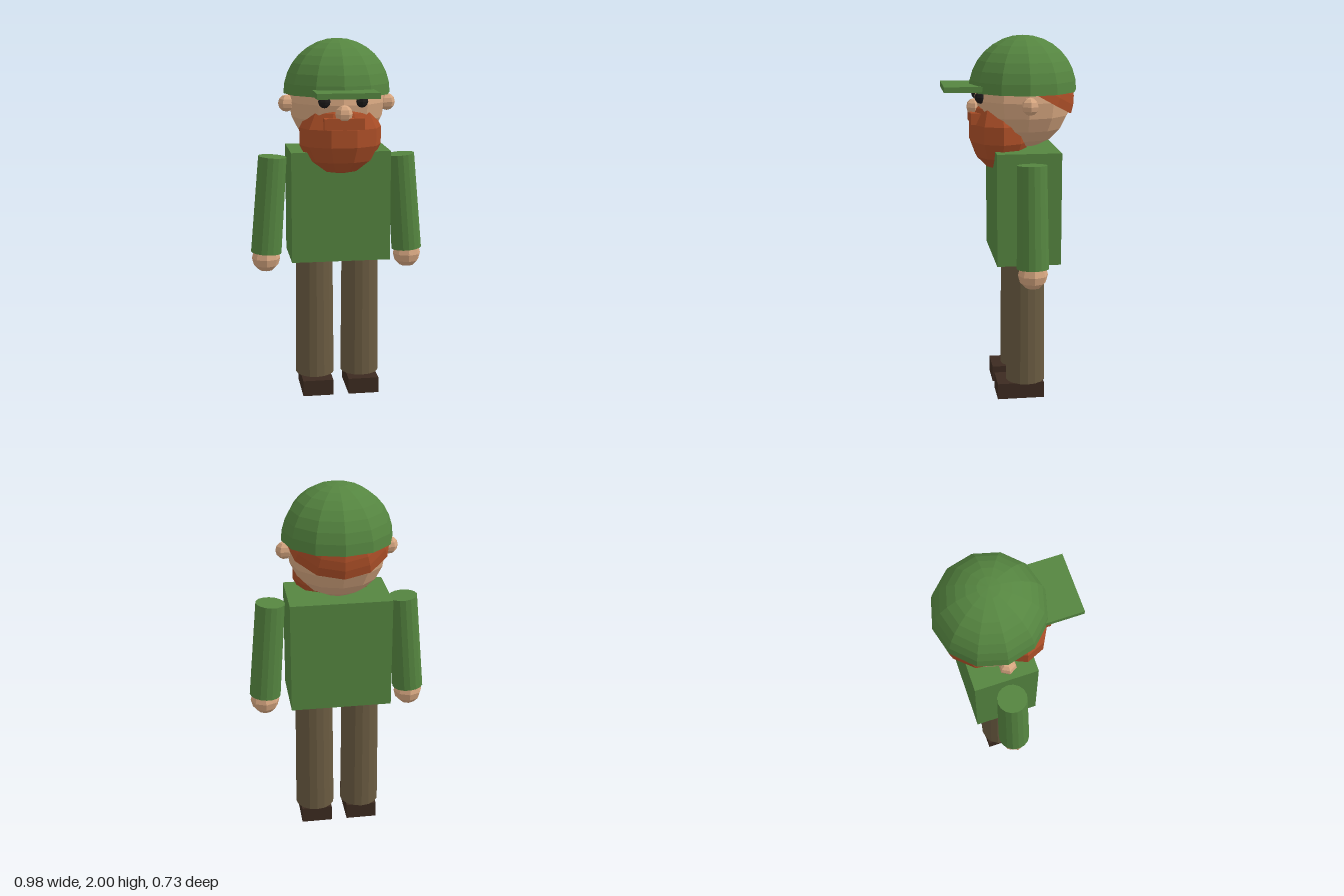
import * as THREE from 'three';

export function createModel() {
  const model = new THREE.Group();
  model.name = 'figure';

  const paint = (name, color, side = THREE.FrontSide) =>
    new THREE.MeshStandardMaterial({ name, color, flatShading: true, side });
  const green = paint('green cloth', 0x558540, THREE.DoubleSide);
  const skin = paint('skin', 0xd6a680);
  const ginger = paint('ginger hair', 0xab4e27, THREE.DoubleSide);
  const brown = paint('trouser brown', 0x6a5b41);
  const leather = paint('shoe leather', 0x3c2a20);
  const black = paint('eye black', 0x1c1a1a);

  const Z = -0.07; // body axis
  const add = (name, geometry, material, x, y, z) => {
    const mesh = new THREE.Mesh(geometry, material);
    mesh.name = name;
    mesh.position.set(x, y, z);
    model.add(mesh);
    return mesh;
  };
  const box = (w, h, d) => new THREE.BoxGeometry(w, h, d);
  const ball = (r, w, h) => new THREE.SphereGeometry(r, w, h);
  const dome = (r, w, h, theta) => new THREE.SphereGeometry(r, w, h, 0, Math.PI * 2, 0, theta);

  // Body
  add('torso', box(0.546, 0.61, 0.346), green, 0, 1.095, Z);

  // Limbs, ears and eyes, mirrored
  for (const [side, s] of [['left', 1], ['right', -1]]) {
    add(side + 'Leg', new THREE.CylinderGeometry(0.104, 0.11, 0.72, 16), brown, s * 0.13, 0.45, Z);
    add(side + 'Shoe', box(0.172, 0.09, 0.26), leather, s * 0.13, 0.045, -0.035);
    const arm = add(side + 'Arm', new THREE.CylinderGeometry(0.079, 0.086, 0.545, 16), green, s * 0.381, 1.085, Z);
    arm.rotation.z = s * 0.078;
    add(side + 'Hand', ball(0.08, 8, 6), skin, s * 0.404, 0.78, Z);
    add(side + 'Ear', ball(0.047, 6, 6), skin, s * 0.278, 1.65, Z);
    add(side + 'Eye', ball(0.034, 8, 6), black, s * 0.1, 1.68, 0.168);
  }

  // Head and face
  add('head', ball(0.265, 12, 10), skin, 0, 1.66, Z);
  add('nose', ball(0.047, 6, 6), skin, 0, 1.617, 0.195);
  add('beard', ball(1, 10, 7), ginger, 0, 1.485, 0.06).scale.set(0.229, 0.212, 0.17);
  add('moustache', box(0.216, 0.06, 0.07), ginger, 0, 1.565, 0.187);

  // Hair shell tipped towards the back of the head
  const hair = add('hair', dome(0.283, 12, 8, 1.36), ginger, 0, 1.66, Z);
  hair.rotation.x = -0.52;

  // Cap
  add('capCrown', dome(0.295, 12, 8, Math.PI / 2), green, 0, 1.705, Z);
  add('capBrim', box(0.328, 0.03, 0.226), green, 0, 1.728, 0.255);

  return model;
}
